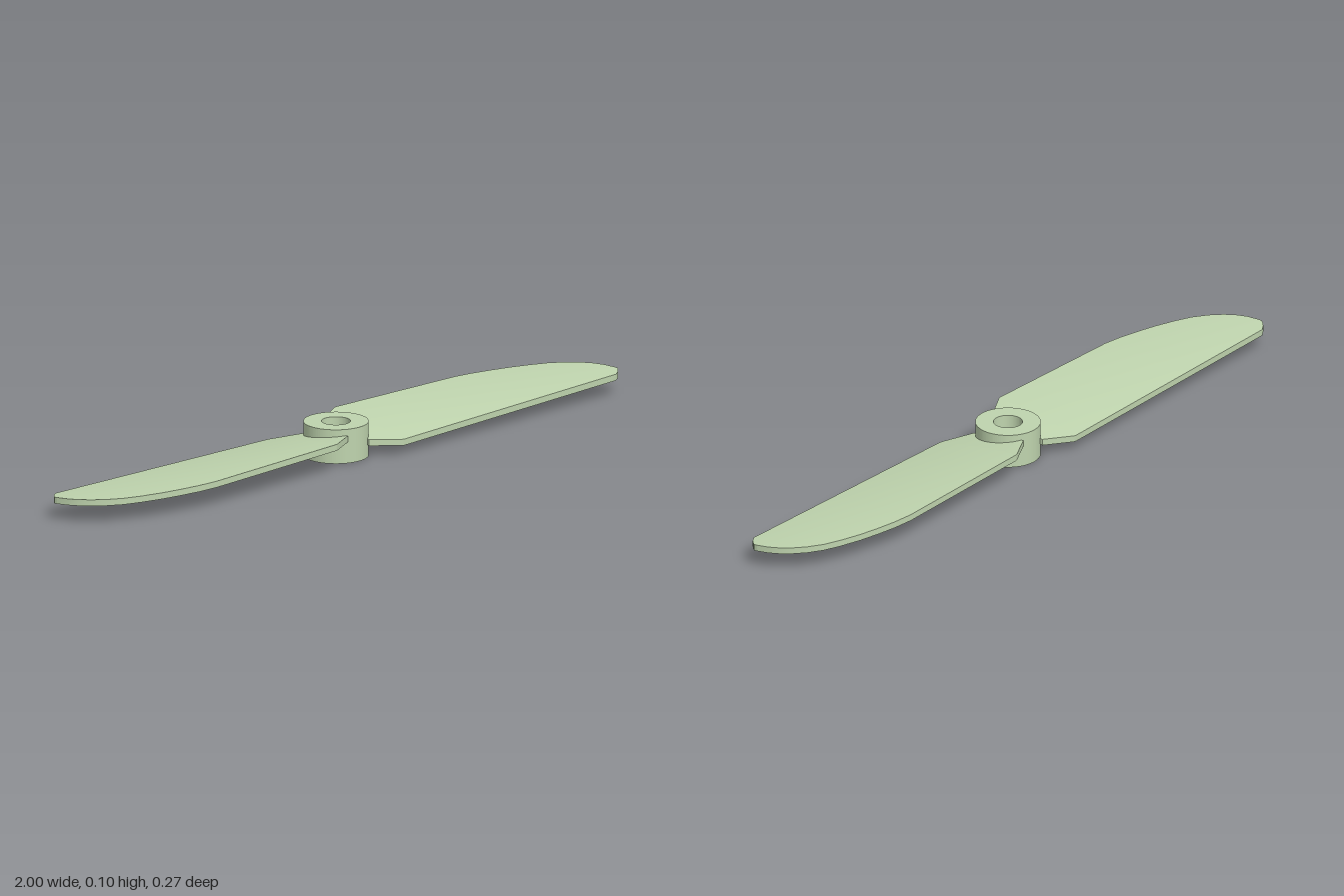
import * as THREE from 'three';

const material = new THREE.MeshStandardMaterial({ color: 0xbfd4ae });

// Blade planform stations, root to tip: [x, back edge z, front edge z]
const stations = [
  [0.042, -0.087, 0.087], [0.126, -0.131, 0.131], [0.134, -0.133, 0.133],
  [0.25, -0.133, 0.133], [0.37, -0.133, 0.133], [0.49, -0.133, 0.133],
  [0.6, -0.133, 0.133], [0.66, -0.126, 0.133], [0.72, -0.114, 0.133],
  [0.78, -0.099, 0.133], [0.84, -0.079, 0.133], [0.89, -0.058, 0.133],
  [0.93, -0.031, 0.133], [0.96, -0.002, 0.133], [0.98, 0.026, 0.121],
  [0.993, 0.055, 0.109], [1.0, 0.09, 0.1],
];

// Box grid reshaped into a twisted, slightly cambered blade of even thickness
function bladeGeometry() {
  const rows = stations.length - 1;
  const geo = new THREE.BoxGeometry(1, 1, 1, rows, 1, 14);
  const pos = geo.attributes.position;
  for (let i = 0; i < pos.count; i++) {
    const row = Math.round((pos.getX(i) + 0.5) * rows);
    const [x, back, front] = stations[row];
    const z = THREE.MathUtils.lerp(back, front, pos.getZ(i) + 0.5);
    const pitch = 0.165 - 0.145 * x; // flattens towards the tip
    const camber = 0.004 * (1 - (z / 0.133) ** 2);
    pos.setXYZ(i, x, 0.055 - pitch * z + camber + 0.018 * pos.getY(i), z);
  }
  geo.computeVertexNormals();
  return geo;
}

// Ring-shaped hub with a shaft hole through it
function hubGeometry() {
  const ring = new THREE.Shape().absarc(0, 0, 0.09, 0, Math.PI * 2);
  ring.holes.push(new THREE.Path().absarc(0, 0, 0.04, 0, Math.PI * 2, true));
  const caps = new THREE.ExtrudeGeometry(ring, { depth: 0.097, bevelEnabled: false, curveSegments: 48 });
  return caps.rotateX(-Math.PI / 2);
}

export function createModel() {
  const model = new THREE.Group();
  model.name = 'propeller';

  const hub = new THREE.Mesh(hubGeometry(), material);
  hub.name = 'hub';
  model.add(hub);

  // Two identical blades, half a turn apart
  const geo = bladeGeometry();
  ['leftBlade', 'rightBlade'].forEach((name, i) => {
    const blade = new THREE.Mesh(geo, material);
    blade.name = name;
    blade.rotation.y = i * Math.PI;
    model.add(blade);
  });
  return model;
}
